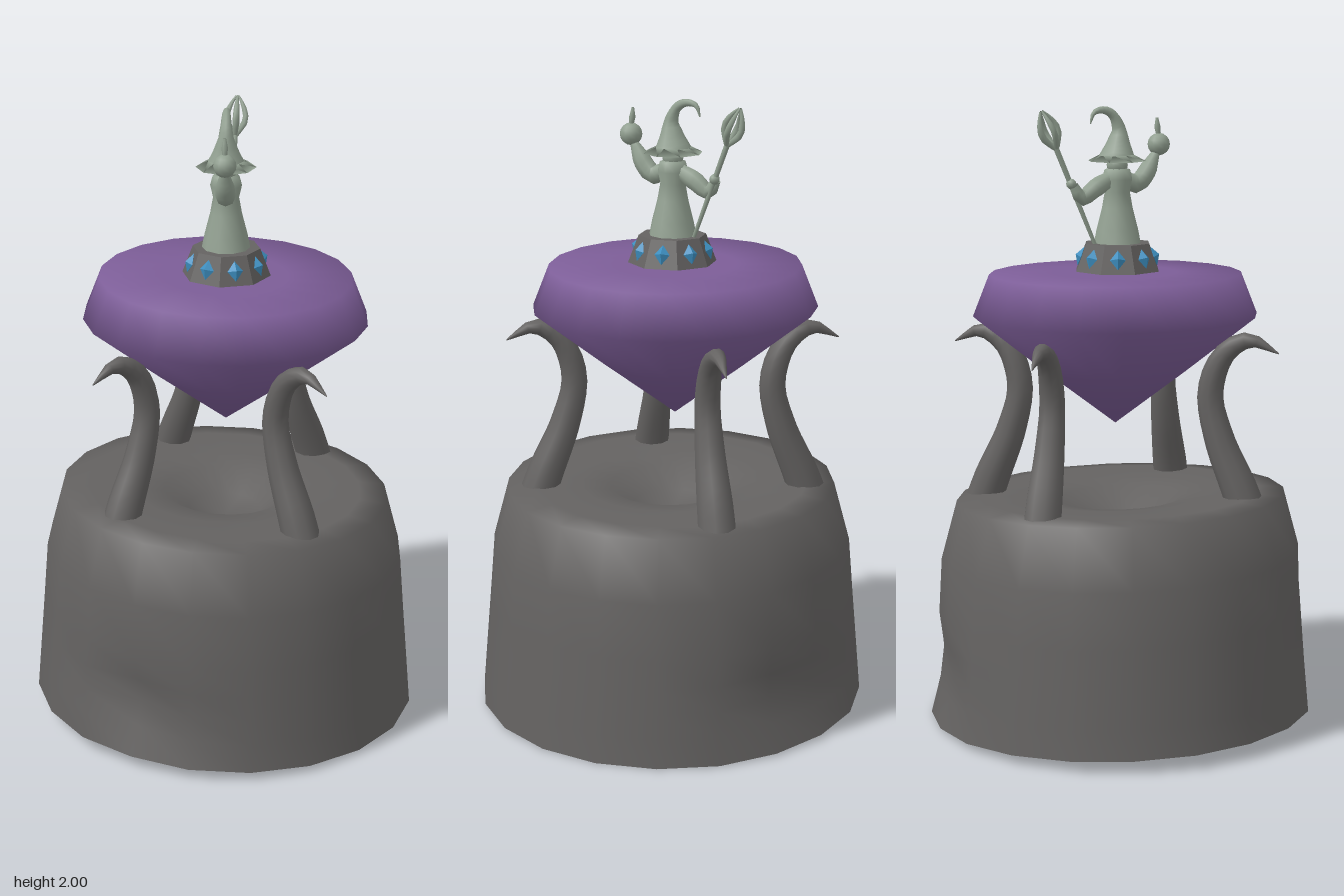
import * as THREE from 'three';
import { mergeVertices } from 'three/addons/utils/BufferGeometryUtils.js';

const mat = (name, color, side = THREE.FrontSide) => {
  const m = new THREE.MeshStandardMaterial({ color, side });
  m.name = name;
  return m;
};
const V = (x, y, z = 0) => new THREE.Vector3(x, y, z);

function add(parent, name, geometry, material) {
  const mesh = new THREE.Mesh(geometry, material);
  mesh.name = name;
  parent.add(mesh);
  return mesh;
}

// Weld the seam and give smooth normals
function smooth(geometry) {
  geometry.deleteAttribute('uv');
  geometry.deleteAttribute('normal');
  const welded = mergeVertices(geometry, 1e-4);
  welded.computeVertexNormals();
  return welded;
}

function flat(geometry) {
  const g = geometry.index ? geometry.toNonIndexed() : geometry;
  g.computeVertexNormals();
  return g;
}

// Turned shape; an optional rule moves every vertex
function turned(profile, sides, rule) {
  const g = new THREE.LatheGeometry(profile.map(([r, y]) => new THREE.Vector2(r, y)), sides);
  const p = g.attributes.position;
  const v = new THREE.Vector3();
  if (rule) {
    for (let i = 0; i < p.count; i++) {
      rule(v.fromBufferAttribute(p, i));
      p.setXYZ(i, v.x, v.y, v.z);
    }
  }
  return smooth(g);
}

// Tube along points with a radius that changes along the way
function taperTube(points, radii, segments = 14, sides = 8) {
  const curve = new THREE.CatmullRomCurve3(points);
  const g = new THREE.TubeGeometry(curve, segments, 1, sides);
  const p = g.attributes.position;
  const v = new THREE.Vector3();
  for (let i = 0; i < p.count; i++) {
    const t = Math.floor(i / (sides + 1)) / segments;
    const f = t * (radii.length - 1);
    const k = Math.min(Math.floor(f), radii.length - 2);
    const r = THREE.MathUtils.lerp(radii[k], radii[k + 1], f - k);
    const c = curve.getPointAt(t);
    v.fromBufferAttribute(p, i).sub(c).multiplyScalar(r).add(c);
    p.setXYZ(i, v.x, v.y, v.z);
  }
  return smooth(g);
}

export function createModel() {
  const model = new THREE.Group();
  model.name = 'trophy';
  const stone = mat('stone grey', 0x646261, THREE.DoubleSide);
  const purple = mat('crystal purple', 0x7c5d97);
  const blue = mat('gem blue', 0x3d8fc0);
  const pewter = mat('pewter green', 0x92a091, THREE.DoubleSide);

  // Pedestal: hollow, slightly tilted, with two dents and a pit on top
  const dents = [V(0.23, 0.2, 0.57), V(-0.28, 0.2, -0.55)];
  const pedestalProfile = [
    [0.632, 0.027], [0.624, 0.12], [0.617, 0.2], [0.61, 0.28], [0.602, 0.37], [0.587, 0.55],
    [0.535, 0.742], [0.45, 0.75], [0.3, 0.745], [0.2, 0.73], [0.12, 0.67], [0, 0.64],
  ];
  add(model, 'pedestal', turned(pedestalProfile, 20, (v) => {
    let push = 0;
    for (const d of dents) push += 0.075 * Math.exp(-v.distanceToSquared(d) / 0.014);
    const shrink = 1 - push / 0.62;
    v.x *= shrink;
    v.z *= shrink;
    v.y += 0.035 * v.z - 0.018 * v.x;
  }), stone);

  // Four curved claws around the crystal
  const clawGeometry = taperTube(
    [V(0.44, 0.68), V(0.405, 0.78), V(0.335, 0.95), V(0.305, 1.1), V(0.35, 1.225), V(0.43, 1.272), V(0.525, 1.232)],
    [0.062, 0.058, 0.05, 0.043, 0.04, 0.03, 0.002], 20, 10);
  const claws = [
    [0, 0, 0.07], [Math.PI, 0.005, -0.145], [Math.PI / 2, -0.035, -0.025], [-Math.PI / 2, -0.035, 0],
  ];
  for (const [turn, x, z] of claws) {
    const claw = add(model, 'claw', clawGeometry, stone);
    claw.rotation.y = turn;
    claw.position.set(x, 0, z);
  }

  // Large cut crystal
  const crystal = add(model, 'crystal', turned(
    [[0, 0.98], [0.23, 1.155], [0.458, 1.335], [0.405, 1.47], [0.2, 1.472], [0, 1.472]], 20,
    (v) => { v.y += 0.01 * v.z - 0.014 * v.x; }), purple);
  crystal.position.set(-0.01, 0, -0.015);

  // Octagonal plinth set with eight small gems
  const plinth = new THREE.Group();
  plinth.name = 'plinth';
  plinth.position.set(-0.002, 1.523, -0.01);
  plinth.rotation.y = -0.13;
  model.add(plinth);
  add(plinth, 'plinthDrum', flat(new THREE.CylinderGeometry(0.108, 0.142, 0.088, 8)), stone);
  const gemGeometry = flat(new THREE.OctahedronGeometry(1).scale(0.025, 0.032, 0.018));
  for (let i = 0; i < 8; i++) {
    const a = (i + 0.5) * Math.PI / 4;
    const gem = add(plinth, 'plinthGem', gemGeometry, blue);
    gem.position.set(Math.sin(a) * 0.117, 0, Math.cos(a) * 0.117);
    gem.rotation.set(-0.36, a, 0, 'YXZ');
  }

  // Robed figure, arms along its local x axis, turned to the diagonal
  const figure = new THREE.Group();
  figure.name = 'figure';
  figure.position.set(-0.004, 0, -0.01);
  figure.rotation.y = -Math.PI / 4;
  model.add(figure);
  add(figure, 'robe', turned(
    [[0.078, 1.56], [0.068, 1.61], [0.05, 1.68], [0.041, 1.73], [0.05, 1.77], [0.042, 1.8], [0, 1.815]], 10), pewter);
  const head = add(figure, 'head', new THREE.SphereGeometry(0.034, 10, 8), pewter);
  head.position.y = 1.815;

  // Pointed hat: brim, cone and curled tip
  add(figure, 'hatBrim', turned([[0, 1.828], [0.096, 1.828], [0.055, 1.848], [0, 1.856]], 8), pewter);
  add(figure, 'hatCone', taperTube(
    [V(0, 1.84), V(0.004, 1.88), V(0.006, 1.93), V(-0.018, 1.975), V(-0.052, 1.99), V(-0.085, 1.982), V(-0.098, 1.948)],
    [0.06, 0.04, 0.024, 0.017, 0.013, 0.009, 0.002], 18), pewter);

  // Raised arm holding an orb with a small spike
  add(figure, 'orbArm', taperTube(
    [V(0.02, 1.775), V(0.07, 1.752), V(0.1, 1.775), V(0.145, 1.85)], [0.024, 0.032, 0.03, 0.013], 10), pewter);
  const orb = add(figure, 'orb', new THREE.SphereGeometry(0.036, 12, 8), pewter);
  orb.position.set(0.155, 1.875, 0);
  add(figure, 'orbSpike', taperTube([V(0.155, 1.9), V(0.15, 1.93), V(0.148, 1.96)], [0.007, 0.01, 0.004], 4, 6), pewter);

  // Bent arm gripping the staff
  add(figure, 'staffArm', taperTube(
    [V(-0.02, 1.775), V(-0.08, 1.745), V(-0.13, 1.715), V(-0.158, 1.755)], [0.024, 0.032, 0.026, 0.015], 10), pewter);
  const hand = add(figure, 'staffHand', new THREE.SphereGeometry(0.017, 8, 6), pewter);
  hand.position.set(-0.16, 1.76, -0.015);

  // Staff with a four-pronged head
  const staff = new THREE.Group();
  staff.name = 'staff';
  const foot = V(-0.08, 1.565, -0.005);
  const axis = V(-0.258, 1.99, -0.03).sub(foot);
  const length = axis.length();
  staff.position.copy(foot);
  staff.quaternion.setFromUnitVectors(V(0, 1, 0), axis.normalize());
  figure.add(staff);
  add(staff, 'staffPole', taperTube([V(0, 0), V(0, 0.2), V(0, length - 0.11)], [0.006, 0.008, 0.009], 6, 6), pewter);
  const prongGeometry = taperTube(
    [V(0.004, length - 0.125), V(0.03, length - 0.075), V(0.022, length - 0.035), V(0.004, length)],
    [0.008, 0.011, 0.009, 0.003], 6, 6);
  for (let i = 0; i < 4; i++) {
    add(staff, 'staffProng', prongGeometry, pewter).rotation.y = i * Math.PI / 2;
  }
  return model;
}
